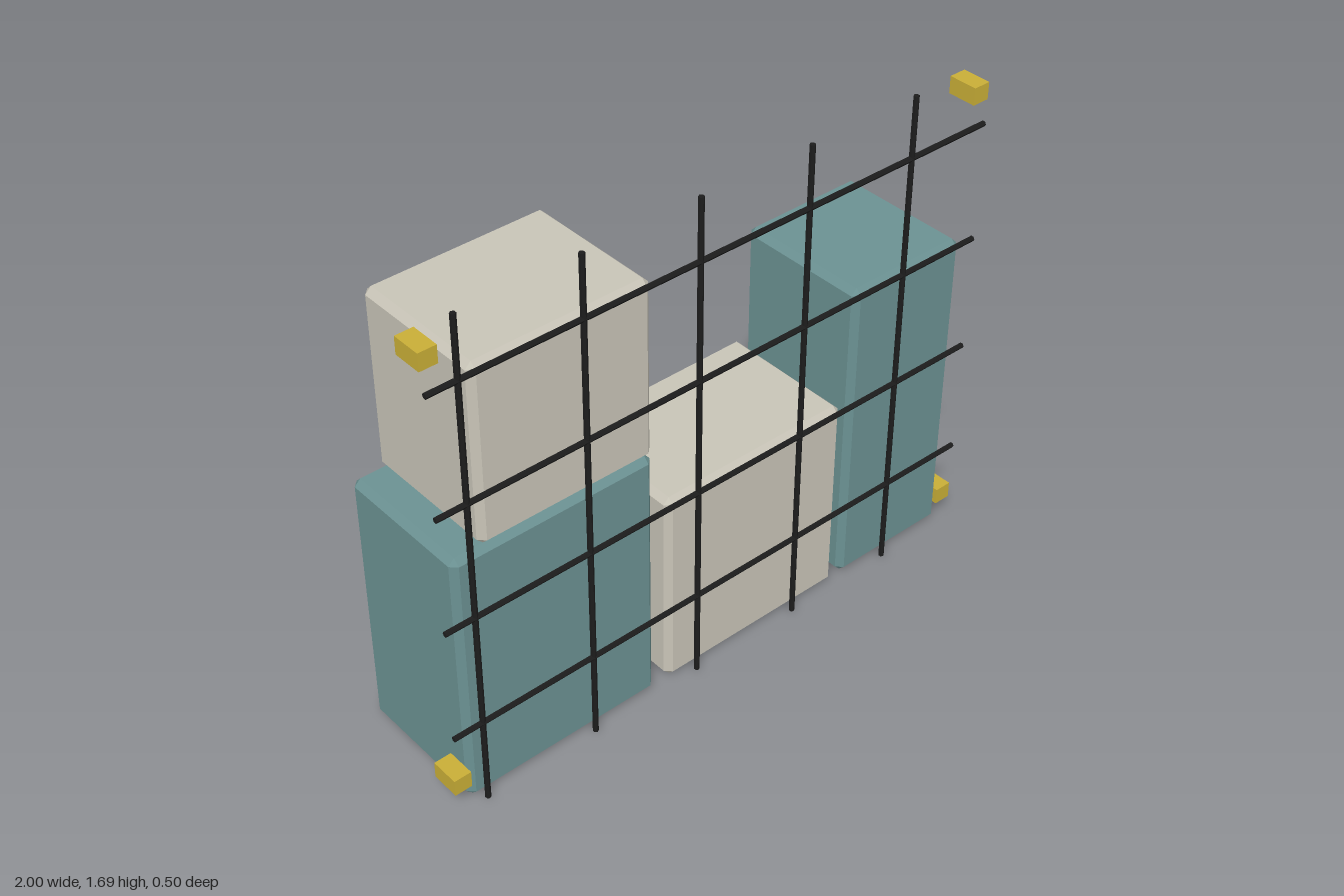
import * as THREE from 'three';
import { ConvexGeometry } from 'three/addons/geometries/ConvexGeometry.js';

const material = (color) => new THREE.MeshStandardMaterial({ color, flatShading: true });

// Box with all twelve edges chamfered
function chamferedBox(w, h, d, c) {
  const points = [];
  for (const sx of [-1, 1]) for (const sy of [-1, 1]) for (const sz of [-1, 1]) {
    for (let axis = 0; axis < 3; axis++) {
      const half = [w / 2, h / 2, d / 2].map((v, i) => (i === axis ? v : v - c));
      points.push(new THREE.Vector3(sx * half[0], sy * half[1], sz * half[2]));
    }
  }
  return new ConvexGeometry(points);
}

export function createModel() {
  const model = new THREE.Group();
  model.name = 'nettedCargo';
  const teal = material(0x6b9192);
  const beige = material(0xc8c4b7);
  const black = material(0x1c1c1c);
  const gold = material(0xc9ae37);

  function add(parent, name, geometry, mat, x, y, z) {
    const mesh = new THREE.Mesh(geometry, mat);
    mesh.name = name;
    mesh.position.set(x, y, z);
    parent.add(mesh);
    return mesh;
  }

  // Crates: name, material, x range, y range
  const crates = [
    ['largeCrate', teal, -0.94, -0.25, 0, 0.895],
    ['stackedCrate', beige, -0.845, -0.25, 0.895, 1.49],
    ['lowCrate', beige, -0.2, 0.49, 0, 0.695],
    ['tallCrate', teal, 0.52, 0.96, 0, 1.09],
  ];
  for (const [name, mat, x0, x1, y0, y1] of crates) {
    add(model, name, chamferedBox(x1 - x0, y1 - y0, 0.47, 0.02), mat,
      (x0 + x1) / 2, (y0 + y1) / 2, -0.015);
  }

  // Cargo net in front of the crates
  const net = new THREE.Group();
  net.name = 'cargoNet';
  model.add(net);
  const ropeZ = 0.241;
  const upright = new THREE.CylinderGeometry(0.009, 0.009, 1.69, 6);
  const crossing = new THREE.CylinderGeometry(0.009, 0.009, 1.98, 6).rotateZ(Math.PI / 2);
  for (let i = 0; i < 5; i++) {
    add(net, 'verticalRope', upright, black, -0.895 + i * 0.396, 0.845, ropeZ);
  }
  for (let i = 0; i < 4; i++) {
    add(net, 'horizontalRope', crossing, black, -0.005, 0.3 + i * 0.396, ropeZ);
  }

  // Anchor blocks at the four corners
  const anchor = new THREE.BoxGeometry(0.058, 0.056, 0.096);
  for (const x of [-0.971, 0.971]) for (const y of [0.1, 1.587]) {
    add(model, 'netAnchor', anchor, gold, x, y, 0.186);
  }
  return model;
}
